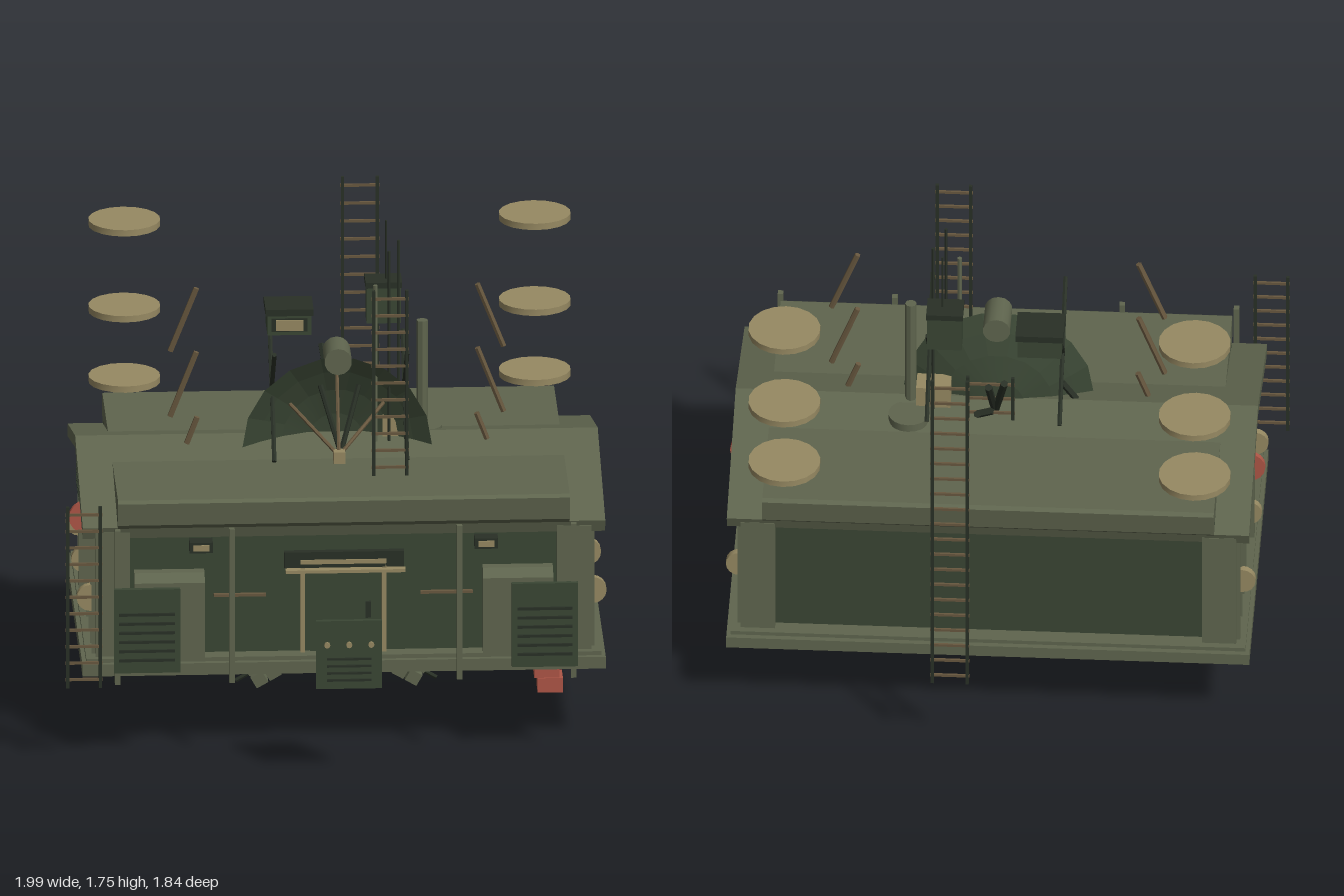
import * as THREE from 'three';
import { toCreasedNormals } from 'three/addons/utils/BufferGeometryUtils.js';

const CX = 0.02; // mirror plane of the building
const RZ = -0.09; // ridge line

export function createModel() {
  const root = new THREE.Group();
  const mat = (name, color, side = THREE.FrontSide) => {
    const m = new THREE.MeshStandardMaterial({ color, side });
    m.name = name;
    return m;
  };
  const olive = mat('olive', 0x5f654e);
  const green = mat('dark green', 0x3a4634, THREE.DoubleSide);
  const black = mat('deep green black', 0x293026);
  const tan = mat('tan', 0x968962);
  const brown = mat('brown', 0x68583f);
  const red = mat('red', 0xae5646);

  const add = (name, geo, m, x = 0, y = 0, z = 0, parent = root) => {
    const mesh = new THREE.Mesh(geo, m);
    mesh.name = name;
    mesh.position.set(x, y, z);
    parent.add(mesh);
    return mesh;
  };
  // box given by its limits
  const box = (name, m, x0, x1, y0, y1, z0, z1, parent = root) =>
    add(name, new THREE.BoxGeometry(x1 - x0, y1 - y0, z1 - z0), m,
      (x0 + x1) / 2, (y0 + y1) / 2, (z0 + z1) / 2, parent);
  // outline of [z, y] points, extruded along x
  const prism = (name, m, pts, x0, x1) => {
    const shape = new THREE.Shape(pts.map(([z, y]) => new THREE.Vector2(-z, y)));
    const g = new THREE.ExtrudeGeometry(shape, { depth: x1 - x0, bevelEnabled: false });
    return add(name, g.rotateY(Math.PI / 2), m, x0);
  };
  // straight bar between two points
  const bar = (name, m, a, b, r, sides = 6, parent = root) => {
    const p = new THREE.Vector3(...a), q = new THREE.Vector3(...b);
    const d = q.clone().sub(p);
    const g = toCreasedNormals(new THREE.CylinderGeometry(r, r, d.length(), sides), 0.7);
    const mesh = add(name, g, m, 0, 0, 0, parent);
    mesh.position.copy(p).add(q).multiplyScalar(0.5);
    mesh.quaternion.setFromUnitVectors(new THREE.Vector3(0, 1, 0), d.normalize());
    return mesh;
  };
  const mirrorZ = (pts) => pts.map(([z, y]) => [2 * RZ - z, y]);

  // base slab
  box('baseSlab', olive, -0.93, 0.97, 0.29, 0.335, -0.71, 0.53);
  box('baseStep', olive, -0.915, 0.955, 0.335, 0.35, -0.69, 0.51);

  // walls
  box('longWalls', green, -0.8, 0.84, 0.34, 0.87, -0.63, 0.45);
  const gable = [[0.485, 0.34], [0.485, 0.825], [RZ, 0.975], [-0.665, 0.825], [-0.665, 0.34]];
  for (const s of [-1, 1]) {
    const xs = [CX + s * 0.775, CX + s * 0.9].sort((a, b) => a - b);
    prism('gableWall', olive, gable, xs[0], xs[1]);
  }

  // roof
  prism('roof', olive, [[RZ, 1.0], [0.49, 0.845], [0.475, 0.8], [RZ, 0.955],
    [-0.655, 0.8], [-0.67, 0.845]], -0.927, 0.97);
  const eave = [[0.05, 0.955], [0.505, 0.955], [0.52, 0.945], [0.51, 0.86], [0.465, 0.82], [0.05, 0.82]];
  prism('frontEave', olive, eave, -0.8, 0.84);
  prism('backEave', olive, mirrorZ(eave), -0.8, 0.84);

  // gable details, same on both ends
  for (const s of [-1, 1]) {
    const end = new THREE.Group();
    end.name = s > 0 ? 'leftGableDetails' : 'rightGableDetails';
    end.position.x = CX;
    end.rotation.y = 0;
    root.add(end);
    const eb = (n, m, a, b, y0, y1, z0, z1) =>
      box(n, m, Math.min(s * a, s * b), Math.max(s * a, s * b), y0, y1, z0, z1, end);
    for (const z of [0.44, 0.327, 0.2, 0.03, -0.22, -0.355, -0.49, -0.63])
      eb('batten', olive, 0.895, 0.913, 0.35, 0.955 - 0.27 * Math.abs(z - RZ), z - 0.008, z + 0.008);
    eb('ventFrame', black, 0.895, 0.918, 0.68, 0.805, -0.475, -0.24);
    for (let i = 0; i < 5; i++)
      eb('ventSlat', green, 0.915, 0.926, 0.692 + i * 0.022, 0.704 + i * 0.022, -0.465, -0.25);
    eb('centrePost', olive, 0.895, 0.935, 0.42, 0.7, -0.115, -0.07);
    const disc = (n, m, r, t, y, z) =>
      add(n, toCreasedNormals(new THREE.CylinderGeometry(r, r, t, 16).rotateX(Math.PI / 2), 0.7), m, s * 0.912, y, z, end);
    disc('redDisc', red, 0.06, 0.02, 0.7, -0.055);
    for (const z of [0.325, -0.095, -0.505]) disc('tanDisc', tan, 0.05, 0.026, 0.525, z);
  }

  // front door
  box('door', green, -0.1, 0.14, 0.35, 0.66, 0.44, 0.46);
  box('doorHead', black, -0.195, 0.24, 0.675, 0.735, 0.44, 0.475);
  for (const x of [-0.128, 0.168]) box('doorJamb', tan, x - 0.008, x + 0.008, 0.35, 0.7, 0.44, 0.475);
  box('doorLintel', tan, -0.136, 0.176, 0.69, 0.706, 0.44, 0.48);
  box('doorRail', tan, -0.19, 0.245, 0.658, 0.67, 0.46, 0.49);
  box('doorHandle', black, 0.1, 0.12, 0.48, 0.54, 0.46, 0.475);

  // front wall lights, rails, lockers, standing posts and shutters
  for (const s of [-1, 1]) {
    const X = (a) => CX + s * a;
    const fb = (n, m, a, b, ...r) => box(n, m, Math.min(X(a), X(b)), Math.max(X(a), X(b)), ...r);
    fb('lampCase', black, 0.475, 0.56, 0.748, 0.788, 0.44, 0.505);
    fb('lampGlass', tan, 0.488, 0.547, 0.757, 0.779, 0.5, 0.511);
    fb('wallRail', brown, 0.28, 0.47, 0.565, 0.575, 0.45, 0.465);
    const xs = [X(0.505), X(0.76)].sort((a, b) => a - b);
    prism('locker', olive, [[0.44, 0.35], [0.52, 0.35], [0.52, 0.64], [0.49, 0.67], [0.44, 0.67]], xs[0], xs[1]);
    for (const a of [0.413, 0.828]) fb('standingPost', olive, a - 0.01, a + 0.01, 0.3, 0.89, 0.632, 0.655);
    fb('shutter', green, 0.602, 0.842, 0.35, 0.67, 0.652, 0.672);
    for (let i = 0; i < 6; i++)
      fb('shutterSlat', black, 0.622, 0.822, 0.395 + i * 0.035, 0.405 + i * 0.035, 0.67, 0.68);
  }

  // loose door panel
  box('doorPanel', green, -0.1, 0.14, 0.36, 0.62, 0.89, 0.908);
  for (const x of [-0.06, 0.02, 0.1])
    add('panelKnob', new THREE.CylinderGeometry(0.011, 0.011, 0.014, 8).rotateX(Math.PI / 2), tan, x, 0.53, 0.913);
  for (let i = 0; i < 4; i++)
    box('panelSlat', black, -0.06, 0.1, 0.39 + i * 0.027, 0.398 + i * 0.027, 0.906, 0.915);

  // ladders
  const ladder = (name, x0, x1, y0, y1, z, rungs) => {
    const g = new THREE.Group();
    g.name = name;
    root.add(g);
    for (const x of [x0 + 0.008, x1 - 0.008]) box('rail', black, x - 0.006, x + 0.006, y0, y1, z - 0.006, z + 0.006, g);
    for (let i = 0; i < rungs; i++) {
      const y = y0 + (y1 - y0) * (i + 0.5) / rungs;
      box('rung', brown, x0, x1, y - 0.005, y + 0.005, z - 0.004, z + 0.004, g);
    }
  };
  ladder('sideLadder', -1.0, -0.865, 0.305, 1.0, 0.693, 11);
  ladder('backLadder', 0.075, 0.217, 0.32, 1.69, -0.918, 20);
  ladder('roofLadder', 0.13, 0.267, 0.96, 1.67, 0.288, 11);
  ladder('smallLadder', -0.05, 0.13, 0.97, 1.16, -0.185, 3);

  // floating discs and tilted rods
  for (const s of [-1, 1]) {
    for (const y of [1.645, 1.315, 1.045])
      add('floatingDisc', toCreasedNormals(new THREE.CylinderGeometry(0.131, 0.131, 0.024, 18), 0.7), tan, CX + s * 0.745, y, -0.588);
    for (const [a, y0, b, y1] of [[0.605, 1.34, 0.51, 1.58], [0.605, 1.09, 0.51, 1.335], [0.545, 0.985, 0.507, 1.085]])
      bar('tiltedRod', brown, [CX + s * a, y0, -0.03], [CX + s * b, y1, -0.03], 0.011);
  }

  // half dish with drum, feed and struts
  const profile = [0, 0.1, 0.2, 0.28, 0.345].map((r) => new THREE.Vector2(r, -0.1 + 0.1 * (r / 0.345) ** 2));
  const dish = new THREE.LatheGeometry(profile, 9, Math.PI / 2, Math.PI).rotateX(Math.PI / 2);
  add('dish', toCreasedNormals(dish, 0.1), green, CX, 0.97, 0);
  bar('dishDrum', olive, [0.022, 1.31, -0.105], [0.022, 1.31, 0.035], 0.05, 14);
  box('dishFeed', tan, 0.0, 0.042, 0.96, 1.005, 0.115, 0.155);
  for (const [x, y] of [[-0.15, 1.13], [0.02, 1.26], [0.19, 1.13]])
    bar('feedStrut', brown, [x, y, -0.03], [0.02, 0.985, 0.135], 0.007);
  for (const [x, y, z] of [[-0.02, 1.25, -0.34], [0.04, 1.2, -0.3], [0.08, 1.1, -0.33]])
    bar('backStrut', black, [0.025, 0.97, -0.13], [x, y, z], 0.014);
  for (const x of [-0.04, 0.1])
    bar('frontStrut', black, [x, 1.2, -0.03], [0.03, 0.97, 0.06], 0.01);

  // crossed support legs
  for (const x of [-0.215, 0.267]) {
    bar('supportLeg', black, [x, 1.38, 0.145], [x, 1.0, -0.25], 0.009);
    bar('supportLeg', black, [x, 0.97, 0.145], [x, 1.35, -0.2], 0.009);
  }

  // equipment boxes and aerials
  box('equipmentBox', green, -0.225, -0.065, 1.345, 1.435, -0.305, -0.17);
  box('equipmentLid', black, -0.232, -0.058, 1.42, 1.445, -0.312, -0.163);
  box('equipmentFrame', black, -0.21, -0.08, 1.36, 1.41, -0.172, -0.164);
  box('equipmentPlate', tan, -0.195, -0.095, 1.365, 1.405, -0.166, -0.158);
  box('aerialBox', green, 0.137, 0.262, 1.37, 1.52, -0.308, -0.212);
  box('aerialBoxLid', black, 0.133, 0.266, 1.505, 1.527, -0.312, -0.208);
  bar('aerial', black, [0.21, 1.52, -0.255], [0.21, 1.75, -0.255], 0.004);
  bar('aerial', black, [0.25, 0.97, -0.15], [0.25, 1.71, -0.15], 0.006);
  bar('aerial', black, [0.21, 0.97, -0.03], [0.21, 1.71, -0.03], 0.006);
  bar('mast', olive, [0.333, 0.97, -0.1], [0.333, 1.42, -0.1], 0.021, 8);
  bar('thinMast', olive, [0.16, 0.97, -0.03], [0.16, 1.58, -0.03], 0.009);
  bar('stub', black, [-0.28, 0.97, -0.07], [-0.215, 1.06, -0.07], 0.012);
  box('roofBox', tan, 0.187, 0.312, 0.98, 1.07, -0.145, -0.055);
  add('roofHatch', new THREE.CylinderGeometry(0.075, 0.075, 0.03, 18), olive, 0.335, 0.975, -0.19);

  // pod under the floor
  box('underPod', olive, -0.18, 0.217, 0.21, 0.3, -0.27, 0.115);
  box('underPodRim', olive, -0.165, 0.202, 0.185, 0.21, -0.255, 0.1);
  add('underPodPort', new THREE.CylinderGeometry(0.025, 0.025, 0.015, 12), black, 0.02, 0.181, -0.08);
  box('floorRail', black, 0.2, 0.74, 0.262, 0.292, -0.12, -0.06);

  // hanging jointed treads
  for (const s of [-1, 1]) {
    const tread = new THREE.Group();
    tread.name = 'hangingTread';
    tread.position.set(CX + s * 0.13, 0.185, -0.09);
    tread.rotation.z = -s * 0.52;
    root.add(tread);
    for (let i = 0; i < 4; i++)
      for (const y of [-0.03, 0.025])
        box('treadBlock', olive, s * (0.055 * i + 0.025) - 0.024, s * (0.055 * i + 0.025) + 0.024, y - 0.023, y + 0.023, -0.042, 0.042, tread);
    bar('treadRod', black, [0, 0, 0], [s * 0.27, 0, 0], 0.008, 6, tread);
  }

  // red steps
  for (let i = 0; i < 5; i++) {
    const x = 0.75 - i * 0.0125;
    box('redStep', red, x, x + 0.092, i * 0.057, i * 0.057 + 0.055, -0.138, -0.046);
  }
  bar('stepStringer', red, [0.79, 0.01, -0.092], [0.745, 0.29, -0.092], 0.03);

  return root;
}
